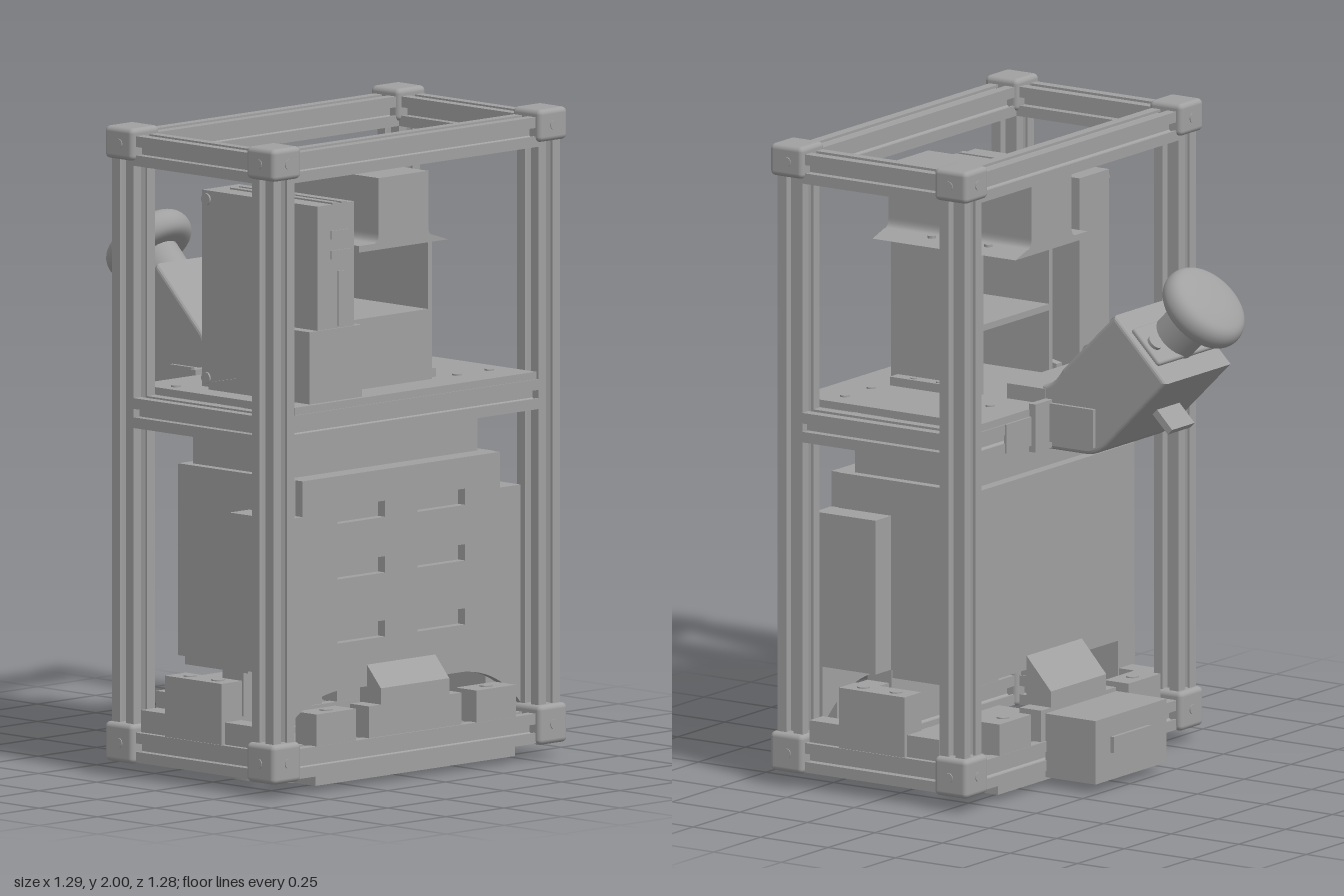
import * as THREE from 'three';
import { RoundedBoxGeometry } from 'three/addons/geometries/RoundedBoxGeometry.js';

export function createModel() {
  const model = new THREE.Group();
  const grey = new THREE.MeshStandardMaterial({ color: 0xa0a0a0 });
  grey.name = 'machineGrey';

  const add = (name, geo, parent = model) => {
    const m = new THREE.Mesh(geo, grey);
    m.name = name;
    parent.add(m);
    return m;
  };
  // Box given by its limits on each axis
  const box = (name, x0, x1, y0, y1, z0, z1) => {
    const m = add(name, new THREE.BoxGeometry(x1 - x0, y1 - y0, z1 - z0));
    m.position.set((x0 + x1) / 2, (y0 + y1) / 2, (z0 + z1) / 2);
    return m;
  };
  const cyl = (name, r, h, x, y, z, axis = 'y', parent = model) => {
    const m = add(name, new THREE.CylinderGeometry(r, r, h, 24), parent);
    m.position.set(x, y, z);
    if (axis === 'x') m.rotation.z = Math.PI / 2;
    if (axis === 'z') m.rotation.x = Math.PI / 2;
    return m;
  };
  const poly = pts => new THREE.Shape(pts.map(p => new THREE.Vector2(...p)));
  const rectHole = (u0, u1, v0, v1) => poly([[u0, v0], [u0, v1], [u1, v1], [u1, v0]]);
  const extrude = (shape, depth, opts = {}) =>
    new THREE.ExtrudeGeometry(shape, { depth, bevelEnabled: false, curveSegments: 16, ...opts });
  // Extrude a (z, y) shape along x
  const alongX = (name, shape, x0, x1) => {
    const m = add(name, extrude(shape, x1 - x0));
    m.rotation.y = -Math.PI / 2;
    m.position.x = x1;
    return m;
  };

  // ---- Slotted frame rails ----
  const h = 0.046, s = 0.013, w = 0.024, d = 0.03, l = 0.038;
  const side = [[-h, -h], [-s, -h], [-s, -l], [-w, -l], [-s, -d + 0.01], [s, -d + 0.01], [w, -l], [s, -l], [s, -h]];
  const profile = [];
  for (let k = 0; k < 4; k++) {
    const c = [1, 0, -1, 0][k], n = [0, 1, 0, -1][k];
    side.forEach(([x, y]) => profile.push([c * x - n * y, n * x + c * y]));
  }
  const rail = (name, axis, len, x, y, z) => {
    const g = extrude(poly(profile), len);
    g.translate(0, 0, -len / 2);
    if (axis === 'x') g.rotateY(Math.PI / 2);
    if (axis === 'y') g.rotateX(-Math.PI / 2);
    add(name, g).position.set(x, y, z);
  };
  const X = [-0.02, 0.58], Z = [-0.572, 0.572];
  for (const z of Z) for (const x of X) {
    rail('cornerPost', 'y', 1.84, x, 1.02, z);
    for (const [y0, y1] of [[0.045, 0.167], [1.9, 2]]) {
      const y = (y0 + y1) / 2, sx = x > 0.2 ? 1 : -1, sz = Math.sign(z), top = y1 > 1;
      const cap = add('cornerBlock', new RoundedBoxGeometry(0.122, y1 - y0, 0.122, 3, 0.016));
      cap.position.set(x + 0.004 * sx, y, z + 0.002 * sz);
      cyl('cornerScrew', 0.015, 0.006, x, y, z + 0.063 * sz, 'z');
      cyl('cornerScrew', 0.015, 0.006, x + 0.065 * sx, y, z, 'x');
      cyl('cornerScrew', 0.018, 0.004, x, top ? 1.998 : 0.045, z);
    }
  }
  for (const y of [0.096, 1.124, 1.931]) {
    for (const z of Z) rail('crossRail', 'x', 0.51, 0.28, y, z);
    for (const x of X) rail('sideRail', 'z', 1.06, x, y, 0);
  }

  // ---- Middle deck ----
  box('deck', -0.062, 0.622, 1.17, 1.193, -0.52, 0.52);
  box('deckUnderBlock', 0.06, 0.5, 1.055, 1.17, -0.18, 0.18);
  for (const z of [-0.44, -0.3, 0.3, 0.47]) for (const x of [0.06, 0.5])
    cyl('deckScrew', 0.014, 0.006, x, 1.195, z);

  // ---- Hood and its stand ----
  const hood = poly([[-0.192, 1.63], [0.192, 1.63], [0.192, 1.65], [0.13, 1.65]]);
  hood.quadraticCurveTo(0.107, 1.65, 0.107, 1.68);
  hood.lineTo(0.107, 1.85);
  hood.lineTo(-0.107, 1.85);
  hood.lineTo(-0.107, 1.68);
  hood.quadraticCurveTo(-0.107, 1.65, -0.13, 1.65);
  alongX('hood', hood, 0.04, 0.57);
  for (const k of [-1, 1]) {
    box('standSide', 0.17, 0.5, 1.19, 1.63, k * 0.184 - 0.009, k * 0.184 + 0.009);
    box('standFoot', 0.235, 0.475, 1.19, 1.22, k * 0.212 - 0.024, k * 0.212 + 0.024);
    for (const x of [0.305, 0.4]) cyl('footScrew', 0.01, 0.006, x, 1.221, k * 0.217);
    for (const x of [0.175, 0.385]) cyl('hoodScrew', 0.013, 0.008, x, 1.651, k * 0.142);
  }
  box('standFront', 0.48, 0.5, 1.19, 1.41, -0.19, 0.19);
  box('standShelf', 0.17, 0.5, 1.39, 1.41, -0.18, 0.18);

  // ---- Electronics tower ----
  box('tower', 0.105, 0.6, 1.19, 1.797, 0.243, 0.402);
  for (const y of [1.642, 1.703]) box('towerSlot', 0.6, 0.604, y - 0.013, y + 0.013, 0.265, 0.345);
  box('towerSlot', 0.6, 0.604, 1.42, 1.59, 0.28, 0.315);
  for (const z of [0.285, 0.325]) box('towerRib', 0.16, 0.6, 1.797, 1.802, z - 0.012, z + 0.012);
  for (const y of [1.22, 1.77]) cyl('towerScrew', 0.018, 0.008, 0.125, y, 0.404, 'z');
  const cover = poly([[0.17, 1.19], [0.17, 1.215]]);
  cover.lineTo(0.27, 1.235);
  cover.quadraticCurveTo(0.32, 1.24, 0.335, 1.3);
  cover.quadraticCurveTo(0.35, 1.415, 0.4, 1.415);
  cover.lineTo(0.605, 1.415);
  cover.lineTo(0.605, 1.19);
  add('towerCover', extrude(cover, 0.225)).position.z = 0.215;

  // ---- Lower cabinet ----
  box('cabinet', 0.05, 0.53, 0.36, 0.95, -0.43, 0.43);
  box('cabinetTop', 0.065, 0.49, 0.95, 1.055, -0.4, 0.4);
  box('cabinetBase', 0.06, 0.33, 0.335, 0.36, -0.43, 0.43);
  for (const k of [-1, 1]) box('cabinetWing', 0.335, 0.53, 0.36, 0.84, k * 0.47 - 0.045, k * 0.47 + 0.045);
  const slots = () => [0.46, 0.657, 0.828].flatMap(y =>
    [rectHole(-0.275, -0.07, y - 0.025, y + 0.025), rectHole(0.07, 0.275, y - 0.025, y + 0.025)]);
  const front = poly([[-0.515, 0.17]]);
  front.quadraticCurveTo(-0.42, 0.28, -0.27, 0.29);
  front.lineTo(0.27, 0.29);
  front.quadraticCurveTo(0.42, 0.28, 0.515, 0.17);
  front.lineTo(0.515, 0.84);
  front.lineTo(0.425, 0.84);
  front.lineTo(0.425, 0.95);
  front.lineTo(-0.425, 0.95);
  front.lineTo(-0.425, 0.84);
  front.lineTo(-0.515, 0.84);
  front.holes = slots();
  alongX('slottedPanel', front, 0.53, 0.56);
  const back = rectHole(-0.43, 0.43, 0.36, 0.95);
  back.holes = slots();
  alongX('slottedBackPanel', back, 0.03, 0.05);

  // ---- Blocks on the bottom rails ----
  const wedge = [[0.53, 0.14], [0.62, 0.14], [0.62, 0.29], [0.53, 0.39]];
  for (const k of [-1, 1]) {
    add('wedgeBlock', extrude(poly(wedge.map(([x, y]) => [0.28 + k * (x - 0.28), y])), 0.295)).position.z = -0.147;
    const x = 0.28 + k * 0.3;
    box('wedgeFoot', x - 0.04, x + 0.04, 0.14, 0.24, -0.2, 0.2);
    for (const z of [-0.345, 0.345]) {
      box('railBlock', x - 0.045, x + 0.045, 0.14, 0.24, z - 0.085, z + 0.085);
      cyl('railBlockScrew', 0.02, 0.006, x, 0.241, z);
    }
    box('endBlock', 0.158, 0.4, 0.14, 0.33, k * 0.57 - 0.045, k * 0.57 + 0.045);
    box('endBlockFoot', 0.04, 0.52, 0.14, 0.21, k * 0.565 - 0.035, k * 0.565 + 0.035);
    for (const sx of [0.22, 0.34]) cyl('endBlockScrew', 0.02, 0.006, sx, 0.331, k * 0.57);
  }
  box('connectorBox', -0.248, -0.062, 0.03, 0.228, -0.18, 0.2);
  box('connectorSwitch', -0.26, -0.248, 0.115, 0.165, -0.1, 0.1);

  // ---- Base plate with two fan openings ----
  const hole = (x, y, r) => new THREE.Path().absarc(x, y, r, 0, Math.PI * 2, true);
  const base = rectHole(-0.06, 0.62, -0.43, 0.43);
  for (const z of [-0.21, 0.21]) {
    base.holes.push(hole(0.28, z, 0.107));
    const ring = new THREE.Shape().absarc(0.28, z, 0.2, 0, Math.PI * 2);
    ring.holes.push(hole(0.28, z, 0.107));
    const g = extrude(ring, 0.022, { curveSegments: 32 });
    add('fanRing', g.rotateX(Math.PI / 2)).position.y = 0.022;
    for (const x of [0.05, 0.51]) for (const dz of [-0.17, 0.17])
      cyl('fanScrew', 0.014, 0.008, x, 0.02, z + dz);
  }
  add('basePlate', extrude(base, 0.045).rotateX(Math.PI / 2)).position.y = 0.065;

  // ---- Handle arm ----
  const arm = poly([[-0.06, 1.065], [-0.2, 1.065]]);
  arm.quadraticCurveTo(-0.245, 1.065, -0.275, 1.095);
  [[-0.49, 1.31], [-0.315, 1.483], [-0.13, 1.3]].forEach(p => arm.lineTo(...p));
  arm.quadraticCurveTo(-0.1, 1.25, -0.06, 1.24);
  add('handleArm', extrude(arm, 0.33, { bevelEnabled: true, bevelSize: 0.012, bevelThickness: 0.012, bevelSegments: 3 })).position.z = -0.165;
  box('handleFlange', -0.085, -0.06, 1.06, 1.21, -0.265, 0.265);
  box('handleBackPlate', -0.07, -0.062, 1.08, 1.17, -0.4, 0.4);
  box('handleBracket', -0.245, -0.06, 1.08, 1.2, -0.19, 0.19);
  box('handleTab', -0.06, 0.08, 1.19, 1.24, -0.18, 0.18);

  // Grip stem and knob, along the slanted end of the arm
  const grip = new THREE.Group();
  grip.name = 'grip';
  grip.position.set(-0.41, 1.405, 0);
  grip.rotation.z = Math.PI / 4;
  model.add(grip);
  add('gripPlate', new RoundedBoxGeometry(0.14, 0.02, 0.31, 3, 0.009), grip).position.y = 0.005;
  for (const z of [-0.117, 0.117]) cyl('gripScrew', 0.024, 0.03, 0, 0.01, z, 'y', grip);
  cyl('gripStem', 0.073, 0.15, 0, 0.06, 0, 'y', grip);
  const knob = [[0, 0.115], [0.07, 0.115], [0.11, 0.117], [0.132, 0.13], [0.142, 0.155], [0.137, 0.183], [0.118, 0.203], [0.08, 0.214], [0.04, 0.218], [0, 0.219]];
  add('knob', new THREE.LatheGeometry(new THREE.SplineCurve(knob.map(p => new THREE.Vector2(...p))).getPoints(40), 48), grip);

  // Cable eyes and trigger on the arm
  for (const [x, y] of [[-0.22, 1.43], [-0.117, 1.33]]) {
    const eye = new THREE.Shape().absarc(0, 0, 0.027, 0, Math.PI * 2);
    eye.holes.push(hole(0, 0, 0.012));
    add('cableEye', extrude(eye, 0.05)).position.set(x, y, -0.025);
    const neck = box('cableEyeNeck', x - 0.032, x - 0.008, y - 0.05, y - 0.01, -0.025, 0.025);
    neck.rotation.z = -Math.PI / 4;
  }
  const trigger = box('trigger', -0.455, -0.355, 1.155, 1.178, -0.06, 0.06);
  trigger.rotation.z = Math.PI / 4;

  return model;
}
